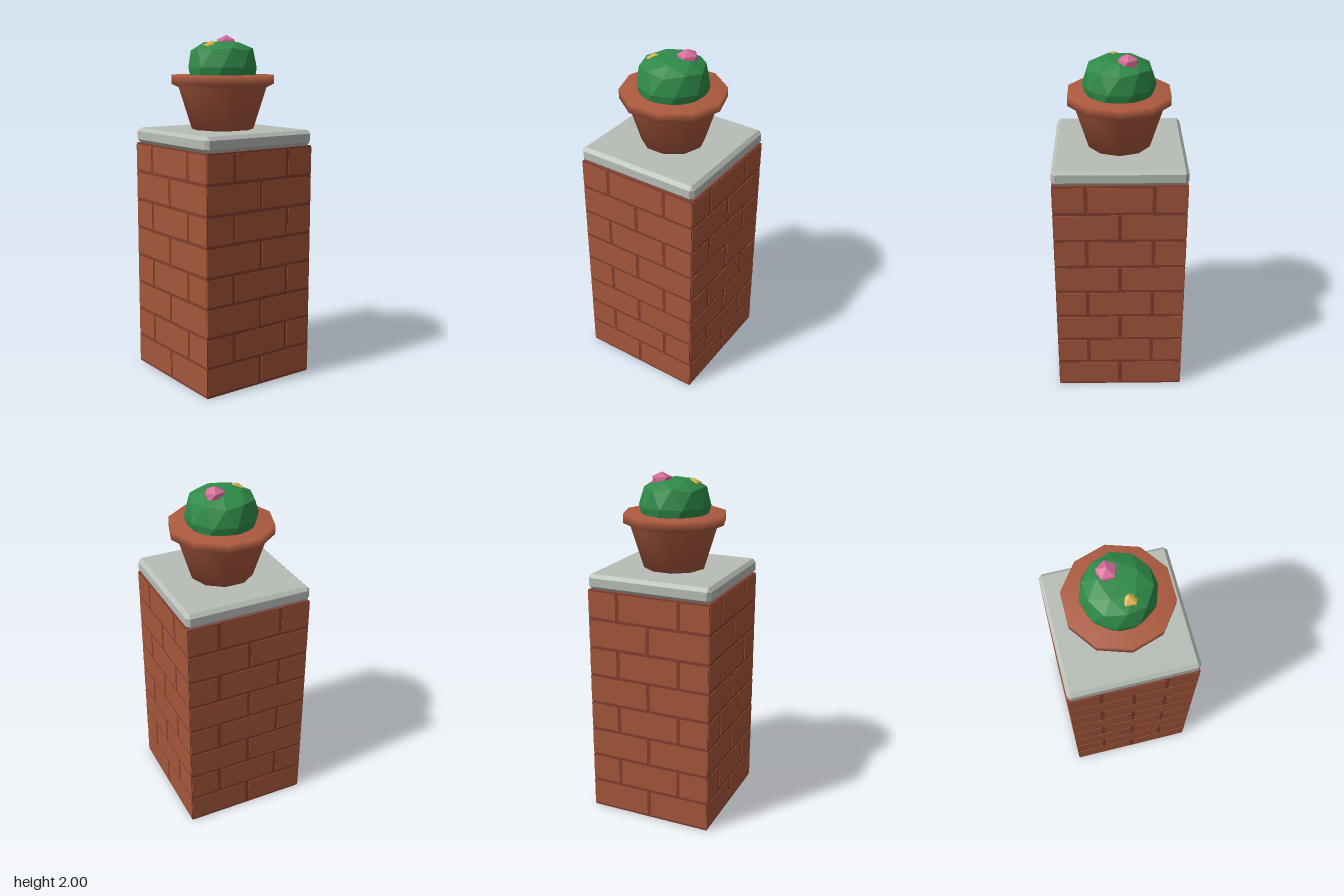
import * as THREE from 'three';
import { ConvexGeometry } from 'three/addons/geometries/ConvexGeometry.js';

const mat = (name, color, flatShading = false) => {
  const m = new THREE.MeshStandardMaterial({ color, flatShading });
  m.name = name;
  return m;
};

// Icosahedron with a vertex at the pole and an upper-ring vertex towards +x
function poleIcosahedron(detail) {
  const g = new THREE.IcosahedronGeometry(1, detail);
  g.rotateX(-Math.atan2((1 + Math.sqrt(5)) / 2, 1));
  g.rotateY(Math.PI / 2);
  return g;
}

// Box with every edge and corner cut off, from half sizes
function chamferedBox(hx, hy, hz, c) {
  const points = [];
  for (const x of [-1, 1]) for (const y of [-1, 1]) for (const z of [-1, 1]) {
    points.push(
      new THREE.Vector3(x * hx, y * (hy - c), z * (hz - c)),
      new THREE.Vector3(x * (hx - c), y * hy, z * (hz - c)),
      new THREE.Vector3(x * (hx - c), y * (hy - c), z * hz));
  }
  return new ConvexGeometry(points);
}

export function createModel() {
  const model = new THREE.Group();
  const brick = mat('brick', 0xa4563b);
  const mortar = mat('mortar', 0x823f30);
  const stone = mat('stone', 0xb8bdb6, true);
  const clay = mat('terracotta', 0xac5a3f);
  const green = mat('leaf green', 0x2f8a48, true);
  const pink = mat('pink petals', 0xd66c98, true);
  const yellow = mat('yellow petals', 0xd6b048, true);

  const add = (parent, name, geometry, material, x = 0, y = 0, z = 0) => {
    const mesh = new THREE.Mesh(geometry, material);
    mesh.name = name;
    mesh.position.set(x, y, z);
    parent.add(mesh);
    return mesh;
  };

  // Pillar core, seen only in the joints
  add(model, 'pillarCore', new THREE.BoxGeometry(0.734, 1.37, 0.734), mortar, 0, 0.685, 0);

  // Running-bond brick plates on all four sides
  const course = 0.171, joint = 0.011, edge = 0.365;
  const evenRow = [[-edge, -joint], [joint, edge]];
  const oddRow = [[-edge, -0.187 - joint], [-0.187 + joint, 0.187 - joint], [0.187 + joint, edge]];
  for (let side = 0; side < 4; side++) {
    const face = new THREE.Group();
    face.name = 'brickFace';
    face.rotation.y = side * Math.PI / 2;
    for (let row = 0; row < 8; row++) {
      for (const [a, b] of row % 2 ? oddRow : evenRow) {
        add(face, 'brick', new THREE.BoxGeometry(b - a, 0.151, 0.006), brick,
          (a + b) / 2, row * course + 0.0895, 0.367);
      }
    }
    model.add(face);
  }

  // Stone cap
  add(model, 'stoneCap', chamferedBox(0.37, 0.044, 0.37, 0.02), stone, 0, 1.415, 0);

  // Ten-sided pot with a thick rim and filled top
  const profile = [[0, 1.46], [0.18, 1.46], [0.255, 1.7], [0.297, 1.72], [0.297, 1.772], [0, 1.772]]
    .map(([r, y]) => new THREE.Vector2(r, y));
  add(model, 'pot', new THREE.LatheGeometry(profile, 10, Math.PI / 2), clay);

  // Faceted cactus with a flattened crown
  const cactus = poleIcosahedron(1);
  const p = cactus.attributes.position;
  for (let i = 0; i < p.count; i++) {
    p.setXYZ(i, p.getX(i) * 0.205, 0.145 * Math.sin(p.getY(i) * Math.PI / 2), p.getZ(i) * 0.205);
  }
  cactus.computeVertexNormals();
  add(model, 'cactus', cactus, green, 0, 1.815, 0);

  // Blossoms
  const blossom = (name, material, r, x, y, z) =>
    add(model, name, poleIcosahedron(0).scale(r, r * 0.8, r), material, x, y, z);
  blossom('pinkBlossom', pink, 0.062, 0.061, 1.95, -0.045);
  blossom('yellowBlossom', yellow, 0.053, -0.096, 1.923, 0.03);

  return model;
}
